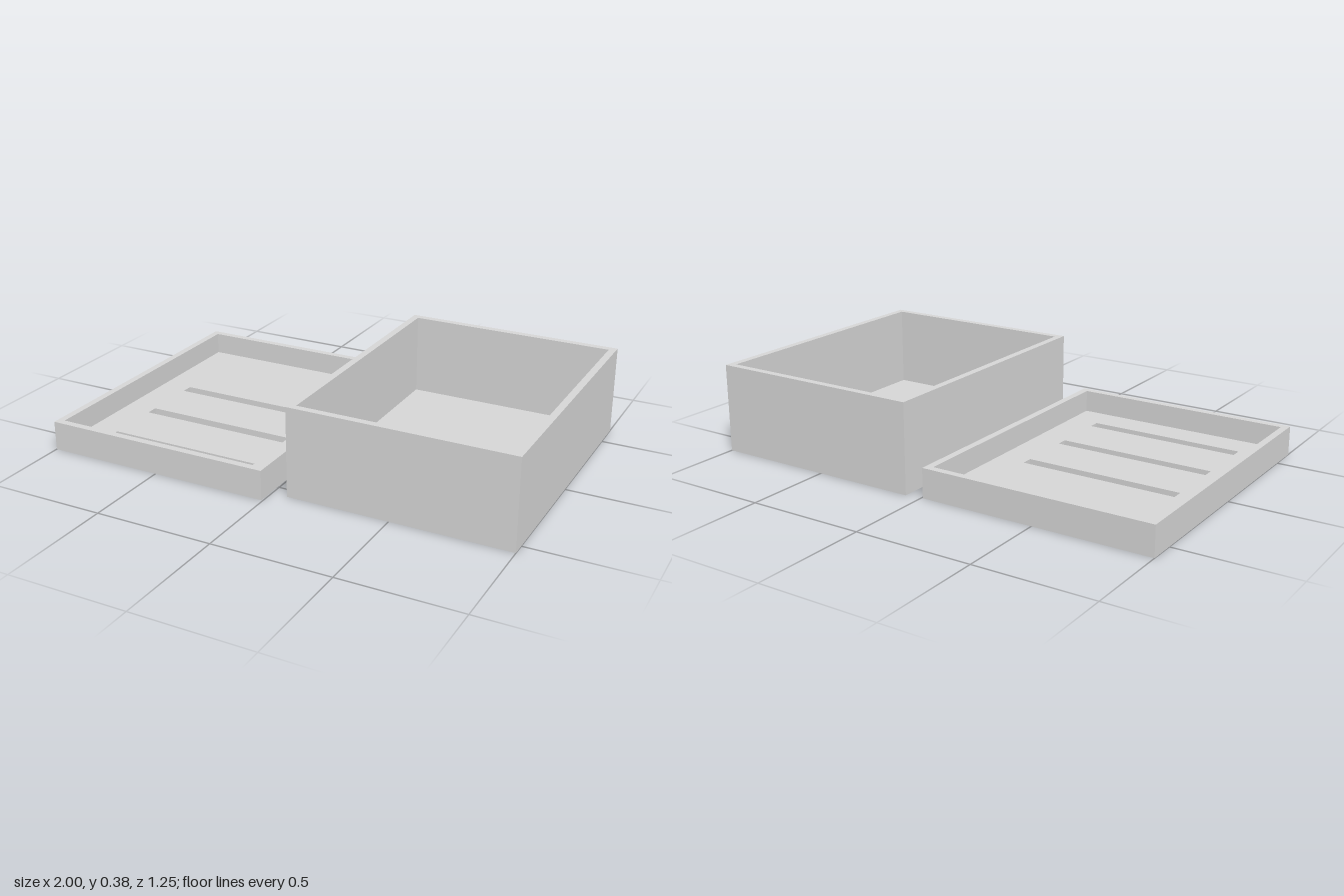
import * as THREE from 'three';

const grey = new THREE.MeshStandardMaterial({ color: 0xd6d6d6 });
grey.name = 'lightGrey';

// Adds a rectangle to a shape or path; plan coordinates are (x, -z)
function rect(path, x0, x1, z0, z1) {
  path.moveTo(x0, -z1);
  path.lineTo(x1, -z1);
  path.lineTo(x1, -z0);
  path.lineTo(x0, -z0);
  path.closePath();
  return path;
}

// Upright slab between two heights, with rectangular holes
function slab(name, outer, holes, y0, y1) {
  const shape = rect(new THREE.Shape(), ...outer);
  holes.forEach((h) => shape.holes.push(rect(new THREE.Path(), ...h)));
  const geo = new THREE.ExtrudeGeometry(shape, { depth: y1 - y0, bevelEnabled: false });
  geo.rotateX(-Math.PI / 2);
  geo.translate(0, y0, 0);
  const mesh = new THREE.Mesh(geo, grey);
  mesh.name = name;
  return mesh;
}

// Open tray: a floor with optional slots and a ring of walls
function tray(name, [x0, x1, z0, z1], height, slots) {
  const wall = 0.03, floor = 0.03;
  const outer = [x0, x1, z0, z1];
  const inner = [x0 + wall, x1 - wall, z0 + wall, z1 - wall];
  const group = new THREE.Group();
  group.name = name;
  group.add(slab(name + 'Floor', outer, slots, 0, floor));
  group.add(slab(name + 'Walls', outer, [inner], floor, height));
  return group;
}

export function createModel() {
  const model = new THREE.Group();
  model.name = 'boxWithLid';

  // Deep box
  model.add(tray('box', [0.066, 1, -0.625, 0.555], 0.378, []));

  // Shallow lid with three vent slots
  const slots = [-0.113, 0.164, 0.441].map((z) => [-0.842, -0.163, z - 0.025, z + 0.025]);
  model.add(tray('lid', [-1, -0.007, -0.613, 0.625], 0.125, slots));

  return model;
}
